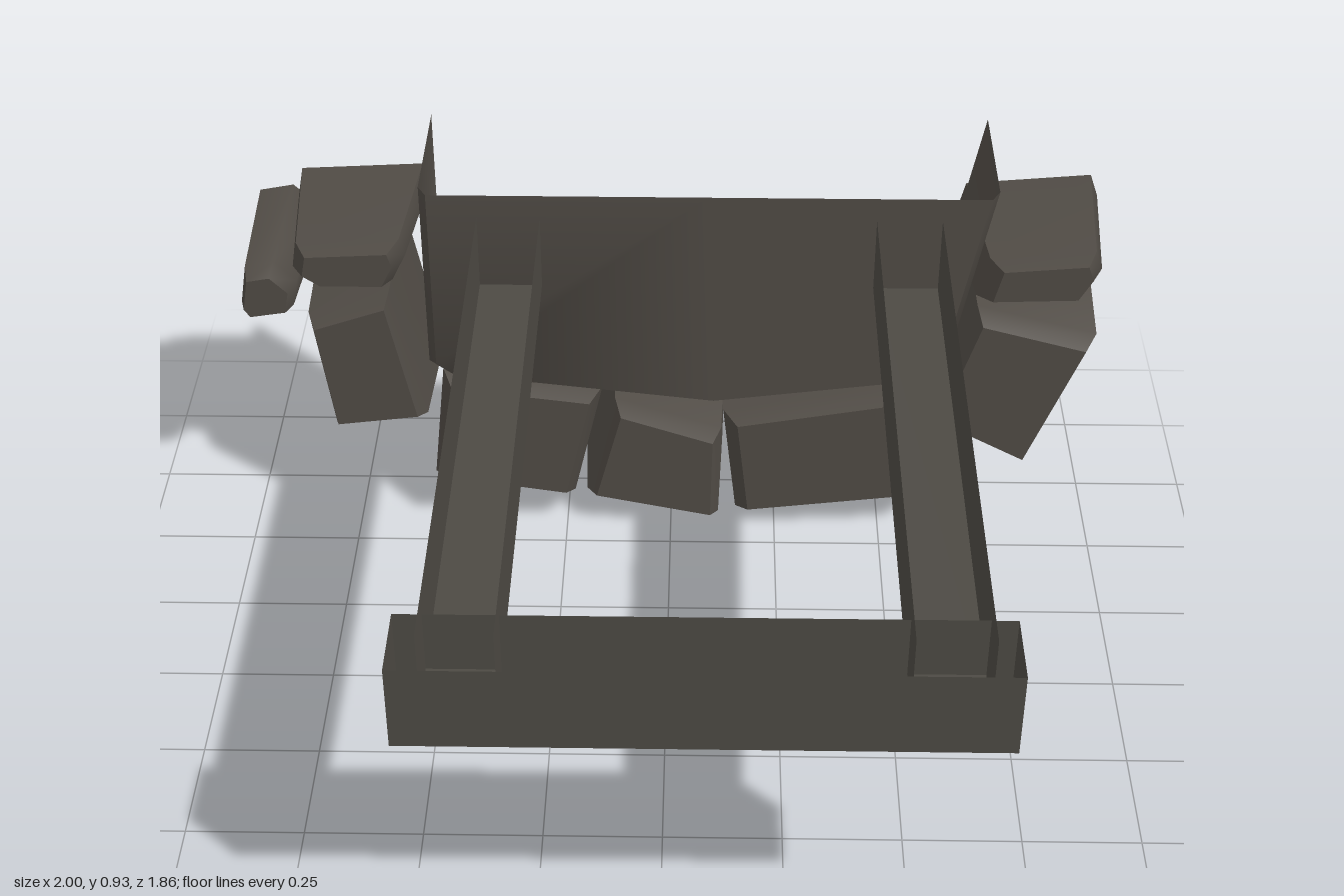
import * as THREE from 'three';
import { toCreasedNormals } from 'three/addons/utils/BufferGeometryUtils.js';

const stoneMat = new THREE.MeshStandardMaterial({ color: 0x504b45, side: THREE.DoubleSide });
stoneMat.name = 'stone';
const beamMat = new THREE.MeshStandardMaterial({ color: 0x4d4a44, side: THREE.DoubleSide });
beamMat.name = 'beam';

// Shell lofted from an outline (counter-clockwise from the front), open at the back, capped in front.
// rings: [z, scale about the anchor], ordered back to front.
function shell(name, outline, rings, closed, anchor, crease) {
  const n = outline.length, pos = [], idx = [];
  const [cx, cy] = anchor;
  for (const [z, s] of rings)
    for (const [x, y] of outline) pos.push(cx + (x - cx) * s, cy + (y - cy) * s, z);
  const last = rings.length - 1, centre = pos.length / 3;
  pos.push(cx, cy, rings[last][0]);
  for (let i = 0; i < (closed ? n : n - 1); i++) {
    const j = (i + 1) % n;
    for (let r = 0; r < last; r++) {
      const a = r * n + i, b = r * n + j;
      idx.push(a, b, b + n, a, b + n, a + n);
    }
    idx.push(last * n + i, last * n + j, centre);
  }
  const geo = new THREE.BufferGeometry();
  geo.setAttribute('position', new THREE.Float32BufferAttribute(pos, 3));
  geo.setIndex(idx);
  const mesh = new THREE.Mesh(toCreasedNormals(geo, crease), stoneMat);
  mesh.name = name;
  return mesh;
}

function stone(name, outline, mid, front) {
  const c = [0, 1].map(k => outline.reduce((sum, p) => sum + p[k], 0) / outline.length);
  return shell(name, outline, [[-0.93, 1], [-0.61, mid], [-0.56, front]], true, c, 1.0);
}

// Open-topped channel made of single sheets
function channel(name, x0, x1, y0, y1, z0, z1, ends) {
  const g = new THREE.Group();
  g.name = name;
  const w = x1 - x0, h = y1 - y0, d = z1 - z0;
  const x = (x0 + x1) / 2, y = (y0 + y1) / 2, z = (z0 + z1) / 2;
  const sheet = (part, sw, sh, px, py, pz, rx, ry) => {
    const m = new THREE.Mesh(new THREE.PlaneGeometry(sw, sh), beamMat);
    m.name = part;
    m.position.set(px, py, pz);
    m.rotation.set(rx, ry, 0);
    g.add(m);
  };
  const q = Math.PI / 2;
  sheet('channelFloor', w, d, x, y0, z, q, 0);
  if (ends !== 'z') {
    sheet('channelFront', w, h, x, y, z1, 0, 0);
    sheet('channelBack', w, h, x, y, z0, 0, Math.PI);
  }
  sheet('channelLeft', d, h, x1, y, z, 0, q);
  sheet('channelRight', d, h, x0, y, z, 0, -q);
  return g;
}

export function createModel() {
  const group = new THREE.Group();
  group.name = 'stoneLedgeWithFrame';

  // Beam frame: two side beams with open ends, one closed cross beam
  group.add(
    channel('rightBeam', -0.43, -0.29, 0.70, 0.875, -0.62, 0.88, 'z'),
    channel('leftBeam', 0.455, 0.60, 0.70, 0.875, -0.62, 0.88, 'z'),
    channel('crossBeam', -0.485, 0.65, 0.65, 0.83, 0.77, 0.925, '')
  );

  // Trough, open at the top and back
  group.add(shell('trough',
    [[-0.56, 0.93], [-0.56, 0.47], [-0.52, 0.44], [0.10, 0.37], [0.60, 0.435], [0.635, 0.47], [0.725, 0.93]],
    [[-0.91, 1], [-0.58, 1], [-0.545, 0.97]], false, [0.08, 0.93], 1.0));

  // Large blocks around the underside
  const blocks = [
    [[-0.845, 0.59], [-0.80, 0.26], [-0.565, 0.29], [-0.64, 0.66]],
    [[-0.545, 0.44], [-0.58, 0.12], [-0.22, 0.065], [-0.145, 0.39]],
    [[-0.14, 0.36], [-0.215, 0.075], [0.125, 0.005], [0.13, 0.27]],
    [[0.105, 0.325], [0.14, 0.02], [0.63, 0.08], [0.585, 0.41]],
    [[0.695, 0.63], [0.59, 0.30], [0.845, 0.165], [0.995, 0.55]],
  ];
  blocks.forEach((b, i) => group.add(stone('block' + (i + 1), b, 0.93, 0.8)));

  // Small tapered stones beside the rim
  const rimStones = [
    [[0.69, 0.75], [0.66, 0.63], [0.955, 0.64], [1.0, 0.72], [0.98, 0.775]],
    [[-0.875, 0.775], [-0.89, 0.70], [-0.83, 0.66], [-0.615, 0.66], [-0.575, 0.74], [-0.59, 0.79]],
    [[-0.98, 0.715], [-1.0, 0.60], [-0.98, 0.57], [-0.855, 0.59], [-0.84, 0.67], [-0.90, 0.73]],
  ];
  rimStones.forEach((s, i) => group.add(stone('rimStone' + (i + 1), s, 0.82, 0.65)));

  return group;
}
